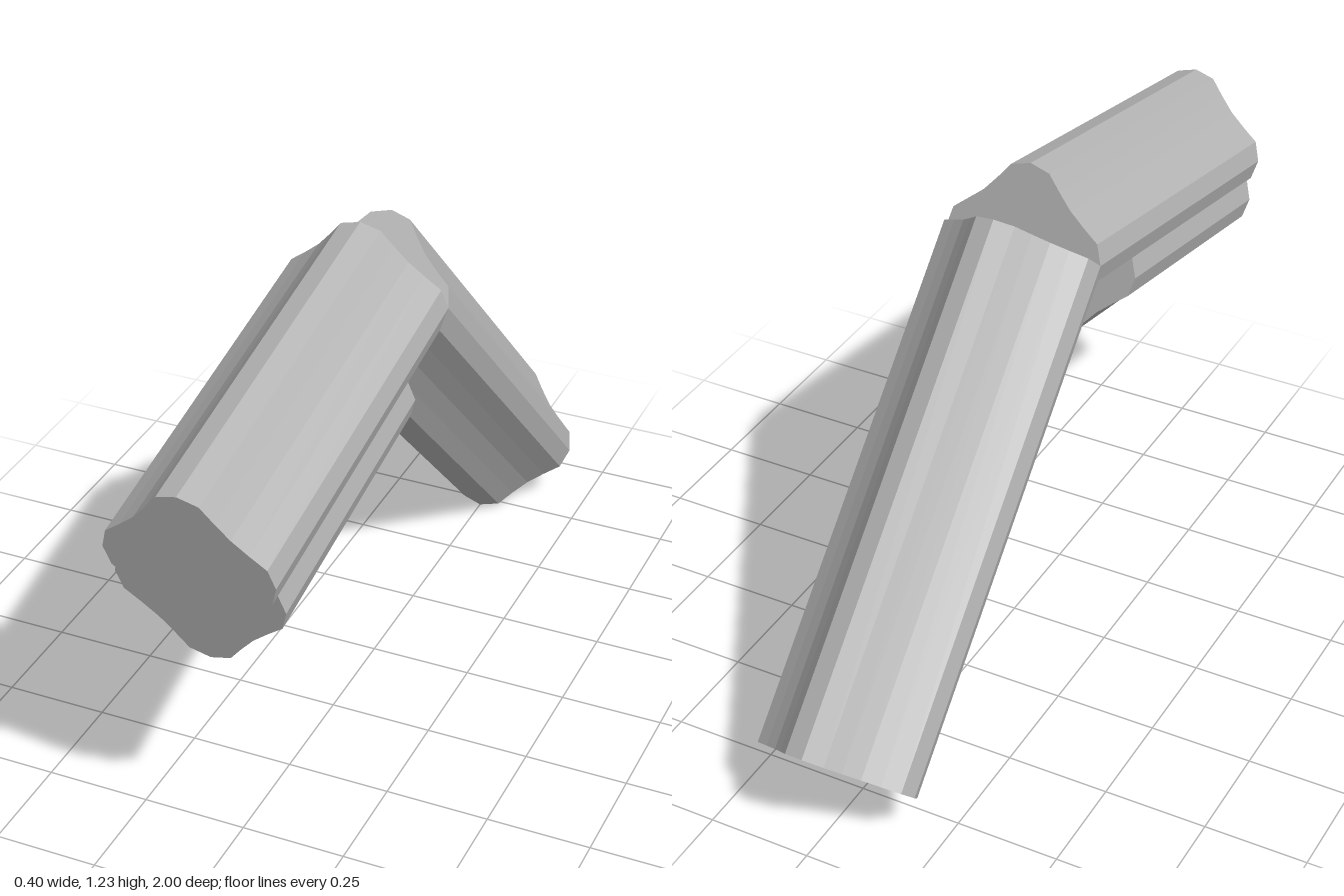
import * as THREE from 'three';

// One quarter of the softly chamfered diamond section, slightly hollow along its diagonal
const quarter = [[0.2, 0], [0.186, 0.049], [0.148, 0.079], [0.111, 0.111], [0.079, 0.148], [0.049, 0.186]];

function makeSection() {
  const points = [];
  for (let k = 0; k < 4; k++) {
    for (const [x, y] of quarter) {
      points.push(new THREE.Vector2(x, y).rotateAround(new THREE.Vector2(), k * Math.PI / 2));
    }
  }
  return new THREE.Shape(points);
}

export function createModel() {
  const group = new THREE.Group();
  const grey = new THREE.MeshStandardMaterial({ color: 0xb4b4b4, flatShading: true });
  grey.name = 'grey';
  const section = makeSection();

  // Straight bar between two section centres given as [y, z]
  function bar(name, [y0, z0], [y1, z1]) {
    const depth = Math.hypot(y1 - y0, z1 - z0);
    const geometry = new THREE.ExtrudeGeometry(section, { depth, bevelEnabled: false });
    const mesh = new THREE.Mesh(geometry, grey);
    mesh.name = name;
    mesh.position.set(0, y0, z0);
    mesh.rotation.x = Math.atan2(y0 - y1, z1 - z0);
    group.add(mesh);
  }

  const joint = [1.04, 0.04];
  bar('upperFrontBar', joint, [0.856, 0.96]);
  bar('rearLegBar', joint, [0.143, -0.857]);
  bar('lowerFrontBar', [0.903, 0.23], [0.766, 0.915]);
  return group;
}
